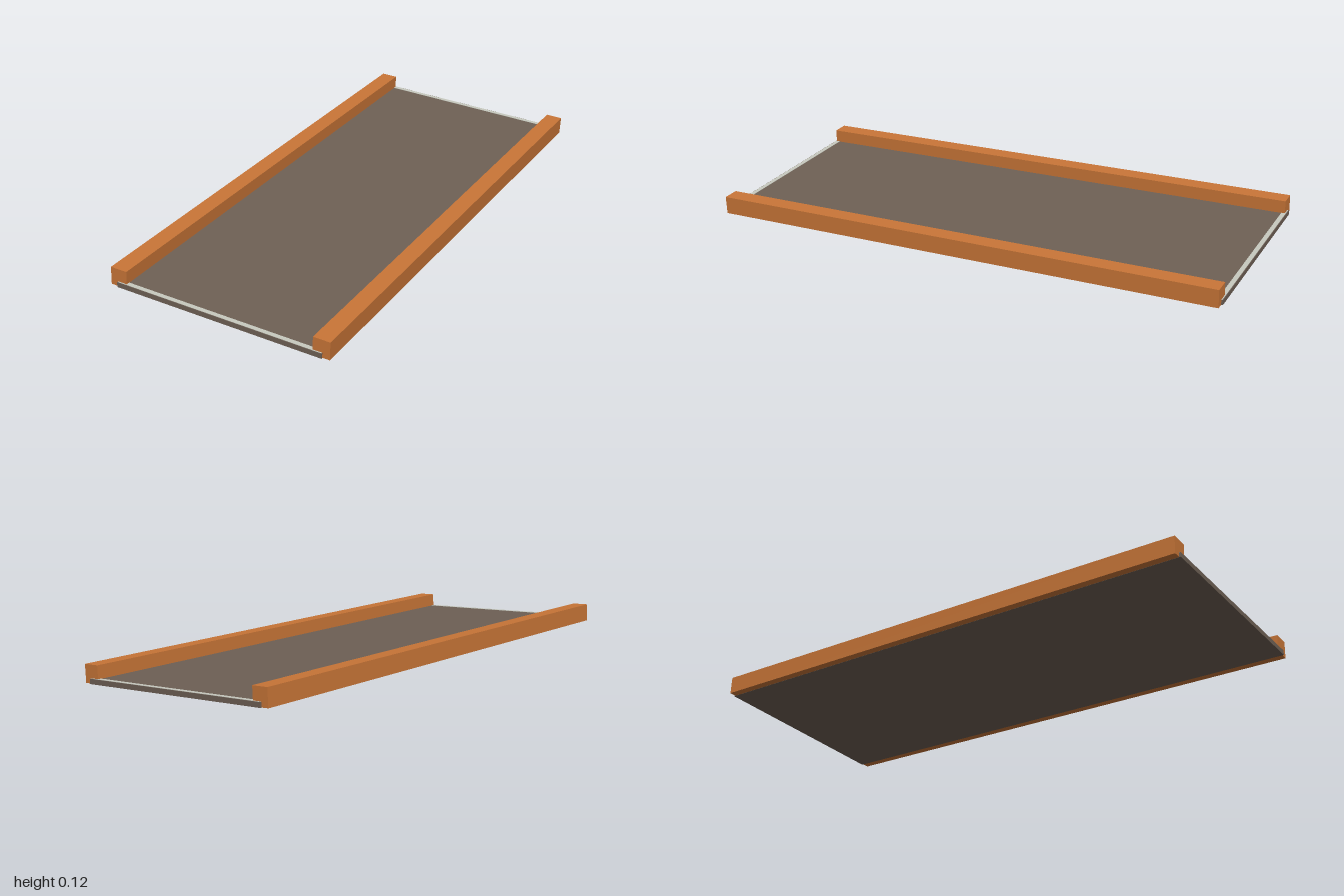
import * as THREE from 'three';

export function createModel() {
  const orange = new THREE.MeshStandardMaterial({ color: 0xc87537 });
  orange.name = 'orange rail';
  const brown = new THREE.MeshStandardMaterial({ color: 0x6e6055 });
  brown.name = 'brown deck';
  const pale = new THREE.MeshStandardMaterial({ color: 0xc6c8be });
  pale.name = 'pale edge';

  const model = new THREE.Group();
  model.name = 'railedDeck';

  // Everything sits in one gently tilted frame whose underside is y = 0
  const frame = new THREE.Group();
  frame.name = 'tiltedFrame';
  frame.position.y = 0.0248;
  frame.rotation.set(0.0035, 0, -0.0485);
  model.add(frame);

  function box(name, material, w, h, d, x, bottom, z) {
    const mesh = new THREE.Mesh(new THREE.BoxGeometry(w, h, d), material);
    mesh.name = name;
    mesh.position.set(x, bottom + h / 2, z);
    frame.add(mesh);
  }

  // Flat deck, running a little under and past the rails
  box('deck', brown, 0.8, 0.0185, 1.998, 0, -0.0005, 0);

  // Square rails along both long sides
  for (const [name, side] of [['leftRail', 1], ['rightRail', -1]]) {
    box(name, orange, 0.064, 0.0675, 1.986, side * 0.396, 0, 0);
  }

  // Thin pale strips on top of the deck at both ends
  for (const [name, side] of [['frontEdgeStrip', 1], ['backEdgeStrip', -1]]) {
    box(name, pale, 0.798, 0.001, 0.017, 0, 0.018, side * 0.988);
  }

  return model;
}
